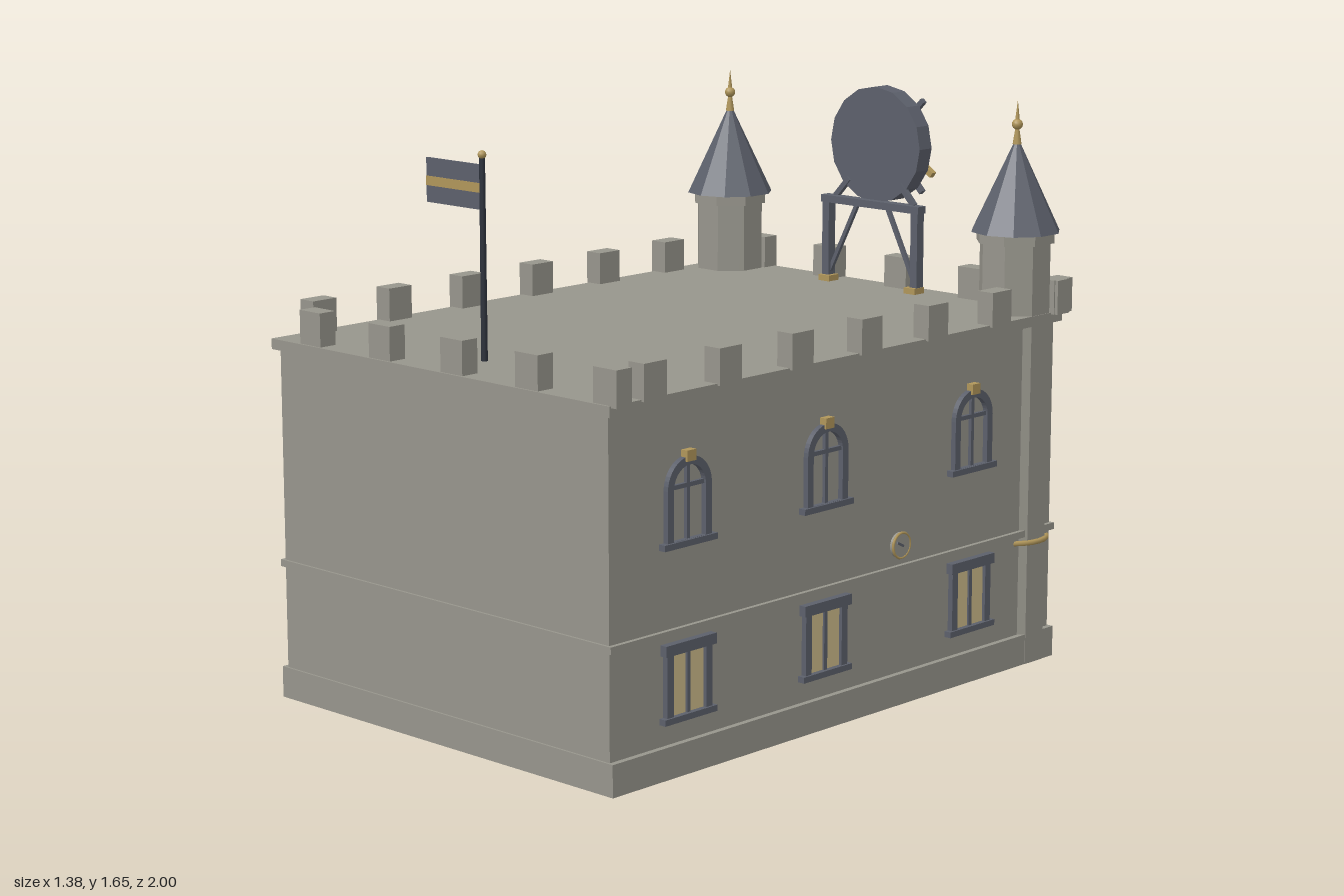
import * as THREE from 'three';

const mat = (name, color) => {
  const m = new THREE.MeshStandardMaterial({ color });
  m.name = name;
  return m;
};
const stone = mat('stone', 0x97958c);
const slate = mat('slate', 0x5c606b);
const iron = mat('dark iron', 0x2d323c);
const gold = mat('gold', 0xb0965a);
const glow = mat('lit glass', 0xcdbb8a);

const flat = (geo) => {
  const g = geo.index ? geo.toNonIndexed() : geo;
  g.computeVertexNormals();
  return g;
};

function add(parent, name, geo, material, x = 0, y = 0, z = 0) {
  const m = new THREE.Mesh(geo, material);
  m.name = name;
  m.position.set(x, y, z);
  parent.add(m);
  return m;
}
const box = (p, name, m, w, h, d, x, y, z) => add(p, name, new THREE.BoxGeometry(w, h, d), m, x, y, z);

// straight square bar between two points
function bar(p, name, m, a, b, t) {
  const A = new THREE.Vector3(...a), B = new THREE.Vector3(...b);
  const o = box(p, name, m, t, A.distanceTo(B), t, 0, 0, 0);
  o.position.copy(A).add(B).multiplyScalar(0.5);
  o.quaternion.setFromUnitVectors(new THREE.Vector3(0, 1, 0), B.sub(A).normalize());
}

function archShape(Type, r, y0, y1) {
  const s = new Type();
  s.moveTo(-r, y0);
  s.lineTo(r, y0);
  s.lineTo(r, y1);
  s.absarc(0, y1, r, 0, Math.PI, false);
  s.lineTo(-r, y0);
  return s;
}

// arched upper window, facing +z, wall plane at z = 0
function archWindow(p, x, lit) {
  const g = new THREE.Group();
  g.name = 'archedWindow';
  g.position.x = x;
  p.add(g);
  const s = archShape(THREE.Shape, 0.083, 0.64, 0.78);
  s.holes.push(archShape(THREE.Path, 0.06, 0.641, 0.78));
  add(g, 'archFrame', new THREE.ExtrudeGeometry(s, { depth: 0.016, bevelEnabled: false, curveSegments: 10 }), slate);
  if (lit) add(g, 'archPane', new THREE.ShapeGeometry(archShape(THREE.Shape, 0.062, 0.64, 0.78), 10), glow, 0, 0, 0.004);
  box(g, 'mullion', slate, 0.012, 0.2, 0.01, 0, 0.74, 0.005);
  box(g, 'transom', slate, 0.12, 0.012, 0.01, 0, 0.785, 0.005);
  box(g, 'sill', slate, 0.2, 0.017, 0.022, 0, 0.632, 0.011);
  box(g, 'keystone', gold, 0.034, 0.03, 0.022, 0, 0.865, 0.011);
}

// rectangular lower window with a given number of mullions
function squareWindow(p, x, bars) {
  const g = new THREE.Group();
  g.name = 'lowerWindow';
  g.position.x = x;
  p.add(g);
  box(g, 'pane', glow, 0.13, 0.18, 0.008, 0, 0.255, 0.002);
  for (const s of [-1, 1]) box(g, 'jamb', slate, 0.024, 0.18, 0.016, s * 0.074, 0.255, 0.008);
  box(g, 'lintel', slate, 0.192, 0.03, 0.022, 0, 0.353, 0.011);
  box(g, 'sill', slate, 0.2, 0.017, 0.022, 0, 0.16, 0.011);
  for (let i = 1; i <= bars; i++)
    box(g, 'mullion', slate, 0.013, 0.18, 0.012, -0.062 + (0.124 * i) / (bars + 1), 0.255, 0.006);
}

function wallGroup(root, name, x, z, ry) {
  const g = new THREE.Group();
  g.name = name;
  g.position.set(x, 0, z);
  g.rotation.y = ry;
  root.add(g);
  return g;
}

function buildTower(root, side) {
  const g = wallGroup(root, 'cornerTower', side * 0.565, -0.766, 0);
  const octagon = (r, h) => flat(new THREE.CylinderGeometry(r, r, h, 8).rotateY(Math.PI / 8));
  add(g, 'towerShaft', octagon(0.106, 1.26), stone, 0, 0.63, 0);
  add(g, 'towerCollar', octagon(0.117, 0.03), stone, 0, 1.26, 0);
  add(g, 'towerRoof', flat(new THREE.CylinderGeometry(0.008, 0.132, 0.26, 10)), slate, 0, 1.405, 0);
  add(g, 'finialBase', new THREE.CylinderGeometry(0.006, 0.013, 0.045, 8), gold, 0, 1.55, 0);
  add(g, 'finialBall', new THREE.SphereGeometry(0.016, 10, 8), gold, 0, 1.585, 0);
  add(g, 'finialSpike', new THREE.ConeGeometry(0.007, 0.06, 8), gold, 0, 1.625, 0);
  add(g, 'towerBand', new THREE.TorusGeometry(0.108, 0.008, 6, 24).rotateX(Math.PI / 2), gold, 0, 0.368, 0);
  for (const y of [0.84, 0.497]) {
    box(g, 'panelFrame', gold, 0.056, 0.122, 0.012, 0, y, -0.1);
    box(g, 'panelPane', glow, 0.042, 0.105, 0.006, 0, y, -0.105);
  }
}

function buildEntrance(back) {
  // double doors, frame and step
  box(back, 'doors', slate, 0.36, 0.31, 0.012, 0, 0.165, 0.006);
  for (const s of [-1, 1]) {
    box(back, 'doorPost', slate, 0.03, 0.34, 0.032, s * 0.185, 0.17, 0.016);
    for (const x of [0.05, 0.125]) box(back, 'doorPanel', iron, 0.055, 0.21, 0.006, s * x, 0.19, 0.013);
    box(back, 'doorHandle', gold, 0.01, 0.035, 0.012, s * 0.014, 0.17, 0.018);
    bar(back, 'canopyBracket', slate, [s * 0.19, 0.3, 0.01], [s * 0.19, 0.36, 0.07], 0.012);
  }
  box(back, 'doorHead', slate, 0.4, 0.026, 0.032, 0, 0.33, 0.016);
  box(back, 'doorSplit', iron, 0.008, 0.3, 0.006, 0, 0.165, 0.013);
  box(back, 'doorStep', stone, 0.42, 0.013, 0.06, 0, 0.0065, 0.03);
  // canopy
  box(back, 'canopy', slate, 0.43, 0.014, 0.144, 0, 0.368, 0.072);
  box(back, 'canopyFascia', slate, 0.43, 0.034, 0.008, 0, 0.358, 0.142);
  box(back, 'canopyTrim', gold, 0.43, 0.012, 0.006, 0, 0.371, 0.147);
  for (let i = 0; i < 9; i++) box(back, 'canopySlat', iron, 0.012, 0.008, 0.13, -0.18 + i * 0.045, 0.357, 0.07);
}

function buildDrum(root) {
  const g = wallGroup(root, 'roofDrum', 0, 0, 0);
  const disc = (r, d) => new THREE.CylinderGeometry(r, r, d, 16).rotateX(Math.PI / 2);
  add(g, 'drumBody', flat(disc(0.175, 0.055)), slate, 0, 1.47, -0.825);
  add(g, 'drumFace', flat(disc(0.142, 0.008)), gold, 0, 1.47, -0.854);
  for (const s of [-1, 1]) {
    bar(g, 'crossBar', slate, [-s * 0.132, 1.608, -0.864], [s * 0.132, 1.332, -0.864], 0.016);
    bar(g, 'goldStub', gold, [s * 0.125, 1.42, -0.864], [s * 0.172, 1.388, -0.864], 0.018);
    bar(g, 'drumStrut', slate, [s * 0.155, 1.3, -0.8], [s * 0.1, 1.36, -0.8], 0.016);
    box(g, 'standLeg', slate, 0.026, 0.25, 0.03, s * 0.175, 1.165, -0.79);
    box(g, 'standFoot', gold, 0.042, 0.018, 0.045, s * 0.17, 1.049, -0.785);
    bar(g, 'standBrace', slate, [s * 0.168, 1.07, -0.79], [s * 0.06, 1.285, -0.79], 0.012);
  }
  box(g, 'standBeam', slate, 0.385, 0.022, 0.035, 0, 1.292, -0.79);
}

export function createModel() {
  const root = new THREE.Group();
  root.name = 'castleHall';
  const zc = 0.0675;

  // walls and horizontal courses
  box(root, 'walls', stone, 1.29, 1.03, 1.835, 0, 0.515, zc);
  box(root, 'plinth', stone, 1.324, 0.09, 1.848, 0, 0.045, zc);
  box(root, 'stringCourse', stone, 1.316, 0.02, 1.85, 0, 0.395, zc);
  box(root, 'cornice', stone, 1.33, 0.03, 1.865, 0, 1.025, zc);

  // battlements
  for (let i = 0; i < 5; i++)
    for (const z of [0.966, -0.845]) box(root, 'merlon', stone, 0.085, 0.1, 0.055, -0.506 + i * 0.287, 1.085, z);
  for (let i = 0; i < 7; i++)
    for (const s of [-1, 1]) box(root, 'merlon', stone, 0.055, 0.1, 0.085, s * 0.647, 1.085, 0.842 - i * 0.283);

  // long side walls
  for (const s of [-1, 1]) {
    const g = wallGroup(root, 'sideWall', s * 0.645, 0, (s * Math.PI) / 2);
    for (const z of [0.7, 0.155, -0.473]) {
      archWindow(g, -s * z, false);
      squareWindow(g, -s * z, 1);
    }
    const mx = s * 0.163;
    add(g, 'medallionRing', new THREE.TorusGeometry(0.036, 0.004, 6, 24), gold, mx, 0.463, 0.012);
    add(g, 'medallionDisc', new THREE.CylinderGeometry(0.036, 0.036, 0.014, 24).rotateX(Math.PI / 2), stone, mx, 0.463, 0.007);
    bar(g, 'medallionHand', slate, [mx - 0.022, 0.475, 0.015], [mx + 0.004, 0.461, 0.015], 0.006);
    buildTower(root, s);
  }

  // entrance wall
  const back = wallGroup(root, 'entranceWall', 0, -0.85, Math.PI);
  for (const s of [-1, 1]) {
    archWindow(back, s * 0.29, true);
    squareWindow(back, s * 0.33, 3);
    box(back, 'banner', slate, 0.09, 0.3, 0.006, s * 0.115, 0.77, 0.003);
    box(back, 'bannerRod', gold, 0.125, 0.012, 0.014, s * 0.115, 0.926, 0.007);
  }
  buildEntrance(back);
  buildDrum(root);

  // flag
  add(root, 'flagPole', new THREE.CylinderGeometry(0.008, 0.009, 0.56, 8), iron, 0, 1.32, 0.81);
  add(root, 'flagBall', new THREE.SphereGeometry(0.012, 10, 8), gold, 0, 1.6, 0.81);
  box(root, 'flag', slate, 0.215, 0.122, 0.006, -0.111, 1.512, 0.81);
  box(root, 'flagStripe', gold, 0.215, 0.026, 0.009, -0.111, 1.51, 0.81);
  return root;
}
